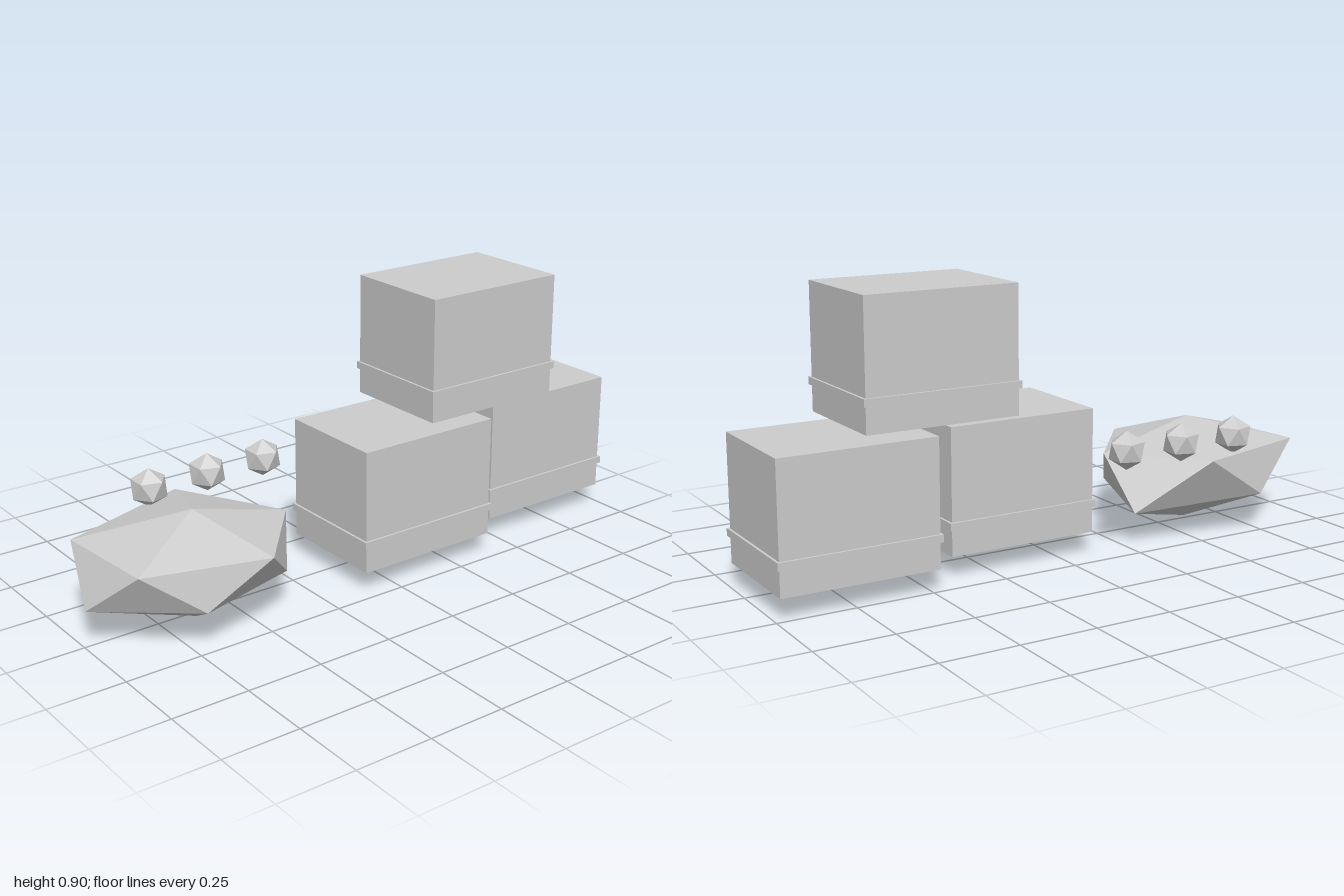
import * as THREE from 'three';

const grey = new THREE.MeshStandardMaterial({ color: 0xcccccc });
grey.name = 'plain grey';

// Twenty-sided solid: a top and bottom point joined by two staggered rings of five
function twentySided(top, upper, lower, bottom) {
  const pos = [];
  const tri = (...corners) => corners.forEach((c) => pos.push(...c));
  for (let i = 0; i < 5; i++) {
    const j = (i + 1) % 5;
    tri(top, upper[j], upper[i]);
    tri(upper[i], upper[j], lower[i]);
    tri(lower[i], upper[j], lower[j]);
    tri(bottom, lower[i], lower[j]);
  }
  const geo = new THREE.BufferGeometry();
  geo.setAttribute('position', new THREE.Float32BufferAttribute(pos, 3));
  geo.computeVertexNormals();
  return geo;
}

function add(parent, name, geo, x = 0, y = 0, z = 0) {
  const mesh = new THREE.Mesh(geo, grey);
  mesh.name = name;
  mesh.position.set(x, y, z);
  parent.add(mesh);
  return mesh;
}

export function createModel() {
  const model = new THREE.Group();
  model.name = 'cratesAndRock';

  // Three stacked crates, each with a thin band near its base
  const crateGeo = new THREE.BoxGeometry(0.51, 0.407, 0.383);
  const bandGeo = new THREE.BoxGeometry(0.526, 0.024, 0.399);
  const crates = [
    ['rightCrate', 0.137, 0.073, 0.025],
    ['leftCrate', 0.732, 0.073, -0.06],
    ['topCrate', 0.435, 0.499, -0.017],
  ];
  for (const [name, x, y, z] of crates) {
    const crate = new THREE.Group();
    crate.name = name;
    crate.position.set(x, y, z);
    add(crate, 'crateBody', crateGeo, 0, 0.2035, 0);
    add(crate, 'crateBand', bandGeo, 0, 0.097, 0);
    model.add(crate);
  }

  // Squat, uneven rock
  add(model, 'rock', twentySided(
    [-0.63, 0.362, 0.025],
    [[-0.29, 0.27, 0.025], [-0.52, 0.272, 0.298], [-0.912, 0.276, 0.19],
      [-0.945, 0.28, -0.16], [-0.5, 0.285, -0.3]],
    [[-0.385, 0.14, 0.165], [-0.73, 0.14, 0.262], [-1, 0.13, 0.02],
      [-0.74, 0.132, -0.255], [-0.277, 0.112, -0.18]],
    [-0.63, 0.003, 0.025],
  ));

  // Row of three small faceted pebbles behind the rock
  const r = 0.064;
  const ring = (offset, y) => Array.from({ length: 5 }, (_, i) => {
    const a = (i + offset) * Math.PI * 0.4;
    return [r * 0.894 * Math.cos(a), y, r * 0.894 * Math.sin(a)];
  });
  const pebbleGeo = twentySided([0, r, 0], ring(0, r * 0.447), ring(0.5, -r * 0.447), [0, -r, 0]);
  [-0.63, -0.417, -0.203].forEach((x, i) => add(model, `pebble${i + 1}`, pebbleGeo, x, 0.346, -0.234));

  return model;
}
